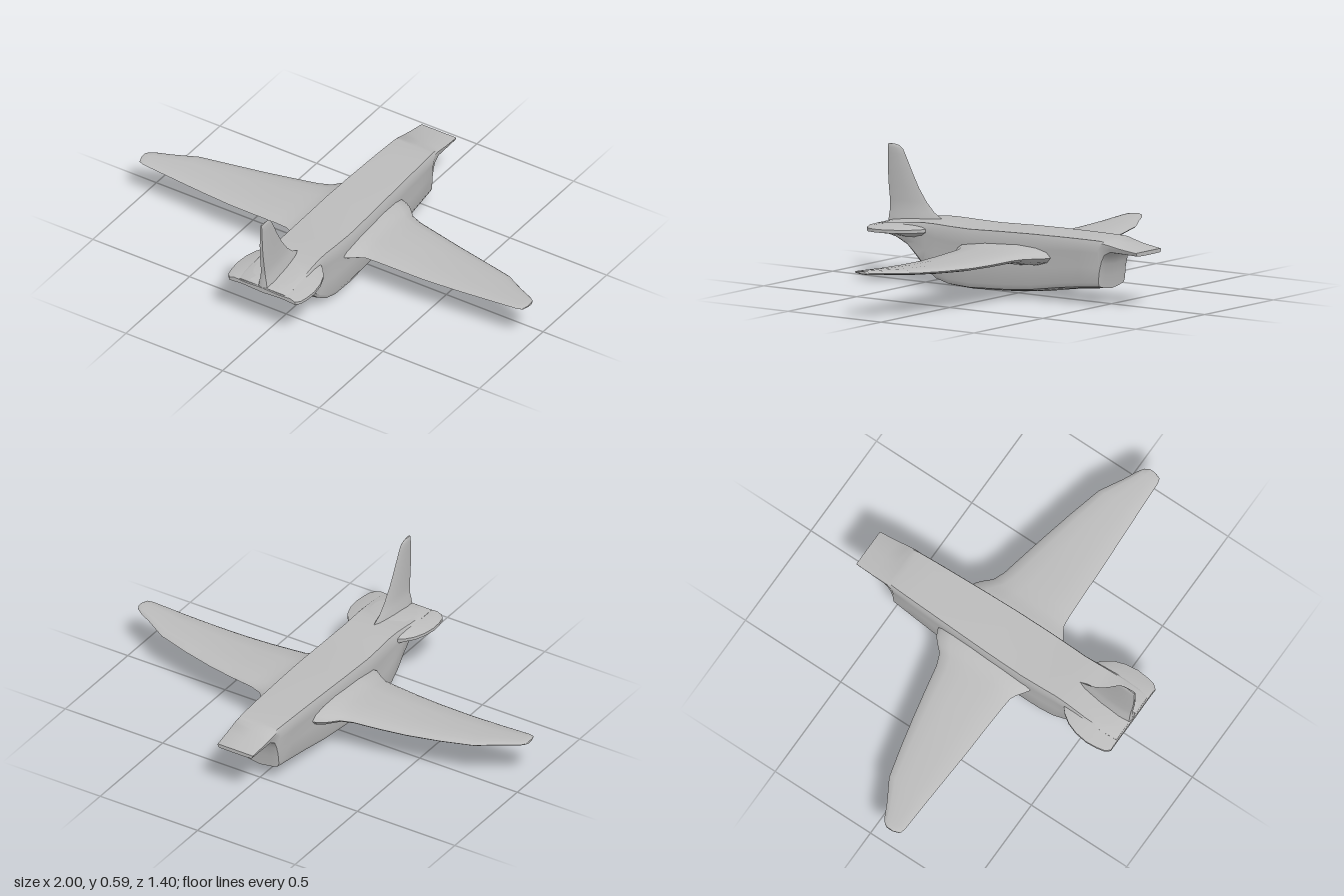
import * as THREE from 'three';
import { mergeVertices, toCreasedNormals } from 'three/addons/utils/BufferGeometryUtils.js';

// Skins a list of closed rings and caps both ends, faces turned outwards.
function loft(rings, crease = 0.7) {
  const n = rings[0].length, pos = rings.flat(2), idx = [];
  for (let r = 0; r < rings.length - 1; r++) {
    for (let i = 0; i < n; i++) {
      const a = r * n + i, b = r * n + (i + 1) % n;
      idx.push(a, b, a + n, b, b + n, a + n);
    }
  }
  const last = (rings.length - 1) * n;
  for (const [start, flip] of [[0, true], [last, false]]) {
    const c = pos.length / 3;
    for (let k = 0; k < 3; k++) {
      let sum = 0;
      for (let i = 0; i < n; i++) sum += pos[(start + i) * 3 + k];
      pos[c * 3 + k] = sum / n;
    }
    for (let i = 0; i < n; i++) {
      const a = start + i, b = start + (i + 1) % n;
      idx.push(...(flip ? [c, b, a] : [c, a, b]));
    }
  }
  // The signed volume tells whether the winding must be reversed.
  let volume = 0;
  const at = (i) => new THREE.Vector3(pos[i * 3], pos[i * 3 + 1], pos[i * 3 + 2]);
  for (let t = 0; t < idx.length; t += 3) volume += at(idx[t]).dot(at(idx[t + 1]).cross(at(idx[t + 2])));
  if (volume < 0) idx.reverse();
  const g = new THREE.BufferGeometry();
  g.setAttribute('position', new THREE.Float32BufferAttribute(pos, 3));
  g.setIndex(idx);
  return toCreasedNormals(mergeVertices(g), crease);
}

// Flat-topped hull section with a shallow keel.
function hullRing([z, yb, yt, wb, wt]) {
  const h = yt - yb, mid = (wb + wt) / 2 - 0.02 * h;
  const half = [
    [0.6 * wb, yb + 0.04 * h], [0.92 * wb, yb + 0.08 * h], [wb, yb + 0.16 * h],
    [mid, yb + 0.45 * h], [wt, yb + 0.75 * h], [wt, yt - 0.1 * h], [0.93 * wt, yt - 0.01 * h],
  ];
  return [[0, yb, z], ...half.map(([x, y]) => [x, y, z]), [0, yt, z],
    ...half.reverse().map(([x, y]) => [-x, y, z])];
}

// Aerofoil section across a wing: blunt leading edge at z0, thin trailing edge at z1.
function wingRing([x, z0, z1, yb, yt]) {
  const c = z1 - z0, m = (yb + yt) / 2, h = (yt - yb) / 2;
  const shape = [[0, 0], [0.04, 0.5], [0.15, 0.85], [0.35, 1], [0.7, 0.8], [0.95, 0.4], [1, 0]];
  const top = shape.map(([u, v]) => [x, m + v * h, z0 + u * c]);
  const under = shape.slice(1, -1).reverse().map(([u, v]) => [x, m - v * h, z0 + u * c]);
  return [...top, ...under];
}

export function createModel() {
  const model = new THREE.Group();
  const grey = new THREE.MeshStandardMaterial({ color: 0xbcbcbc });
  const add = (name, geometry) => {
    const mesh = new THREE.Mesh(geometry, grey);
    mesh.name = name;
    model.add(mesh);
    return mesh;
  };

  // Fuselage: z, bottom, top, half width at bottom, half width at top
  add('fuselage', loft([
    [-0.70, 0.235, 0.253, 0.085, 0.09], [-0.61, 0.238, 0.266, 0.09, 0.096],
    [-0.56, 0.238, 0.277, 0.092, 0.099], [-0.53, 0.218, 0.285, 0.094, 0.101],
    [-0.515, 0.18, 0.289, 0.095, 0.102], [-0.505, 0.13, 0.29, 0.096, 0.103],
    [-0.50, 0.07, 0.291, 0.097, 0.104], [-0.40, 0.06, 0.292, 0.104, 0.109],
    [-0.30, 0.048, 0.292, 0.11, 0.113], [-0.15, 0.024, 0.291, 0.117, 0.119],
    [0, 0.01, 0.288, 0.122, 0.124], [0.18, 0.002, 0.282, 0.127, 0.126],
    [0.29, 0.008, 0.284, 0.128, 0.123], [0.36, 0.027, 0.286, 0.126, 0.12],
    [0.42, 0.067, 0.286, 0.12, 0.122], [0.47, 0.12, 0.283, 0.115, 0.125],
    [0.52, 0.17, 0.278, 0.113, 0.128], [0.58, 0.202, 0.273, 0.115, 0.128],
    [0.64, 0.218, 0.267, 0.12, 0.125], [0.685, 0.232, 0.258, 0.12, 0.12],
  ].map(hullRing)));

  // Wing with flared root: x, leading z, trailing z, underside, upper side
  const wing = loft([
    [0.09, -0.26, 0.24, 0.145, 0.24], [0.13, -0.25, 0.235, 0.15, 0.235],
    [0.155, -0.235, 0.218, 0.156, 0.228], [0.18, -0.212, 0.2, 0.163, 0.222],
    [0.205, -0.185, 0.188, 0.167, 0.218], [0.26, -0.163, 0.183, 0.167, 0.215],
    [0.38, -0.14, 0.177, 0.164, 0.208], [0.50, -0.115, 0.173, 0.164, 0.203],
    [0.65, -0.08, 0.166, 0.171, 0.203], [0.80, -0.04, 0.16, 0.182, 0.207],
    [0.90, 0.018, 0.157, 0.191, 0.211], [0.965, 0.05, 0.155, 0.196, 0.214],
    [0.99, 0.068, 0.148, 0.199, 0.215], [1.0, 0.085, 0.12, 0.203, 0.214],
  ].map(wingRing), 0.9);
  add('leftWing', wing);

  // Right wing: mirror the vertices and restore the winding
  const mirrored = wing.clone().scale(-1, 1, 1);
  for (const attribute of Object.values(mirrored.attributes)) {
    for (let i = 0; i < attribute.count; i += 3) {
      for (const get of ['X', 'Y', 'Z']) {
        const b = attribute['get' + get](i + 1), c = attribute['get' + get](i + 2);
        attribute['set' + get](i + 1, c);
        attribute['set' + get](i + 2, b);
      }
    }
  }
  add('rightWing', mirrored);

  // Rounded tailplane: z, half width, edge height, underside, upper side
  add('tailplane', loft([
    [0.40, 0.11, 0.25, 0.2, 0.284], [0.43, 0.145, 0.248, 0.205, 0.284],
    [0.47, 0.173, 0.246, 0.205, 0.283], [0.52, 0.191, 0.244, 0.208, 0.281],
    [0.58, 0.199, 0.241, 0.213, 0.277], [0.63, 0.195, 0.239, 0.219, 0.271],
    [0.67, 0.187, 0.239, 0.226, 0.264], [0.69, 0.17, 0.24, 0.232, 0.256],
  ].map(([z, w, e, yb, yt]) => [
    [-w, e - 0.007, z], [-0.6 * w, yb + 0.006, z], [0, yb, z], [0.6 * w, yb + 0.006, z],
    [w, e - 0.007, z], [w, e + 0.007, z], [0.85 * w, e + 0.016, z], [0.5 * w, yt - 0.004, z],
    [0, yt, z], [-0.5 * w, yt - 0.004, z], [-0.85 * w, e + 0.016, z], [-w, e + 0.007, z],
  ])));

  // Tail fin: y, leading z, trailing z, half thickness
  add('tailFin', loft([
    [0.245, 0.40, 0.69, 0.034], [0.285, 0.41, 0.688, 0.026], [0.31, 0.452, 0.686, 0.018],
    [0.35, 0.492, 0.688, 0.014], [0.41, 0.535, 0.695, 0.012], [0.48, 0.573, 0.7, 0.01],
    [0.55, 0.608, 0.7, 0.008], [0.575, 0.622, 0.7, 0.007], [0.588, 0.642, 0.7, 0.005],
    [0.592, 0.662, 0.697, 0.003],
  ].map(([y, z0, z1, t]) => {
    const side = [[0.12, 0.45], [0.45, 0.9], [0.8, 1], [0.98, 0.7]];
    const p = ([u, v], s) => [s * v * t, y, z0 + u * (z1 - z0)];
    return [p([0, 0], 1), ...side.map((q) => p(q, 1)), p([1, 0], 1), ...side.reverse().map((q) => p(q, -1))];
  }), 0.9));

  return model;
}
